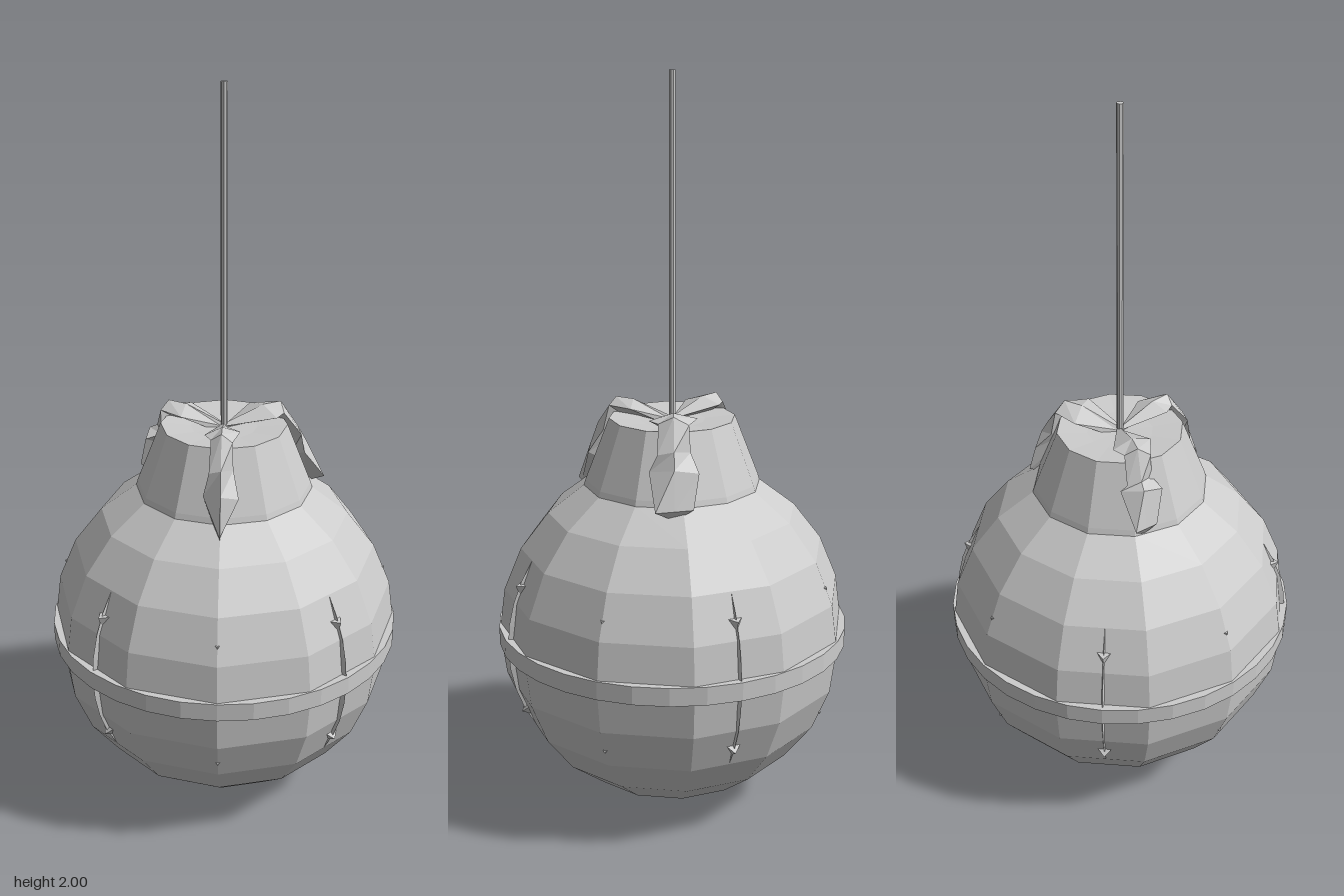
import * as THREE from 'three';

const CY = 0.487, R = 0.483;

export function createModel() {
  const model = new THREE.Group();
  const mat = new THREE.MeshStandardMaterial({ color: 0xcccccc, flatShading: true });
  const matDouble = new THREE.MeshStandardMaterial({ color: 0xcccccc, flatShading: true, side: THREE.DoubleSide });
  const add = (name, geometry, y = 0, parent = model, material = mat) => {
    const mesh = new THREE.Mesh(geometry, material);
    mesh.name = name;
    mesh.position.y = y;
    parent.add(mesh);
    return mesh;
  };
  const lathe = (points, sides) =>
    new THREE.LatheGeometry(points.map(([r, y]) => new THREE.Vector2(r, y)), sides);

  // Faceted round body, shallow base and smooth-edged waist band
  add('body', new THREE.SphereGeometry(R, 12, 12), CY);
  add('baseCap', lathe([[0, 0], [0.124, 0.014], [0.15, 0.03], [0.145, 0.05]], 12), 0, model, matDouble);
  add('waistBand', new THREE.CylinderGeometry(0.485, 0.485, 0.05, 32), 0.487);

  // Tapered neck with a slightly sunken top, and the long stem
  add('neck', lathe([[0.25, 0.88], [0.238, 0.92], [0.172, 1.09], [0.09, 1.083], [0, 1.08]], 12), 0, model, matDouble);
  add('stem', new THREE.CylinderGeometry(0.009, 0.009, 0.92, 8), 1.54);

  // Four upright seams, following the body between its ridges
  for (let i = 0; i < 4; i++) {
    const seam = new THREE.Group();
    seam.name = 'seam' + (i + 1);
    seam.rotation.y = Math.PI / 4 + i * Math.PI / 2;
    model.add(seam);
    add('seamStrip', seamGeometry(), CY, seam, matDouble);
  }

  // Two rows of small thorns around the body
  for (let i = 0; i < 8; i++) {
    for (const lat of [0.37, -0.41]) {
      const cone = new THREE.ConeGeometry(0.05, 0.045, 3);
      cone.rotateX(Math.PI / 2);           // point along +z, one corner down
      cone.translate(0, 0, 0.4615);
      cone.rotateX(-lat);
      cone.rotateY(i * Math.PI / 4);
      add('thorn', cone, CY);
    }
  }

  // Three crooked leaves folded over the neck: heading, width, end width, reach, drop
  const leaves = [
    ['frontLeaf', 0, 0.9, 0, 0, 0],
    ['leftLeaf', Math.atan2(0.24, -0.11), 1.25, 0.05, -0.005, 0.02],
    ['rightLeaf', Math.atan2(-0.23, -0.10), 1.05, 0.032, -0.02, 0.05]
  ];
  for (const [name, angle, width, endWidth, reach, lift] of leaves) {
    const leaf = add(name, leafGeometry(width, endWidth, reach, lift), 0, model, matDouble);
    leaf.rotation.y = angle;
  }
  return model;
}

// Narrow triangular strip along a meridian, tapering at both ends
function seamGeometry() {
  const sections = [];
  for (let k = 0; k <= 12; k++) {
    const a = THREE.MathUtils.degToRad(-46 + k * 92 / 12);
    const taper = Math.sin(Math.PI * k / 12);
    const w = 0.004 + 0.006 * taper, top = 0.463 + 0.015 * taper;
    const at = (x, r) => [x, r * Math.sin(a), r * Math.cos(a)];
    sections.push([at(-w, 0.44), at(0, top), at(w, 0.44)]);
  }
  return loft(sections);
}

// Leaf running out along +z from the stem and down the side of the neck
function leafGeometry(width, endWidth, reach, lift) {
  const path = [
    [0, 1.085, 0.006, 0.005], [0.115, 1.11, 0.052, 0.018], [0.168, 1.11, 0.032, 0.02],
    [0.205, 1.04, 0.035, 0.025], [0.225, 0.975, 0.052, 0.03], [0.275, 0.885, 0, 0]
  ];
  return loft(path.map(([r, y, w, ridge], i) => {
    const half = i === 5 ? endWidth : w * width;
    const out = i > 2 ? r + reach : r, high = i > 3 ? y + lift : y;
    const fold = i < 3 ? [0, 1] : [0.8, 0.4];   // direction the ridge stands out
    const skew = i % 2 ? 0.012 : -0.008;        // hand-cut, uneven sides
    return [
      [-half, high, out + skew], [0, high + ridge * fold[1], out + ridge * fold[0]],
      [half, high, out - skew], [0, high - 0.03, out - 0.02]
    ];
  }));
}

// Skin over closed cross-sections with both ends filled
function loft(sections) {
  const n = sections[0].length, index = [];
  for (let i = 0; i < sections.length - 1; i++) {
    for (let j = 0; j < n; j++) {
      const a = i * n + j, b = i * n + (j + 1) % n;
      index.push(a, b, a + n, b, b + n, a + n);
    }
  }
  const last = (sections.length - 1) * n;
  for (let j = 1; j < n - 1; j++) index.push(0, j + 1, j, last, last + j, last + j + 1);
  const geometry = new THREE.BufferGeometry();
  geometry.setAttribute('position', new THREE.Float32BufferAttribute(sections.flat(2), 3));
  geometry.setIndex(index);
  geometry.computeVertexNormals();
  return geometry;
}
